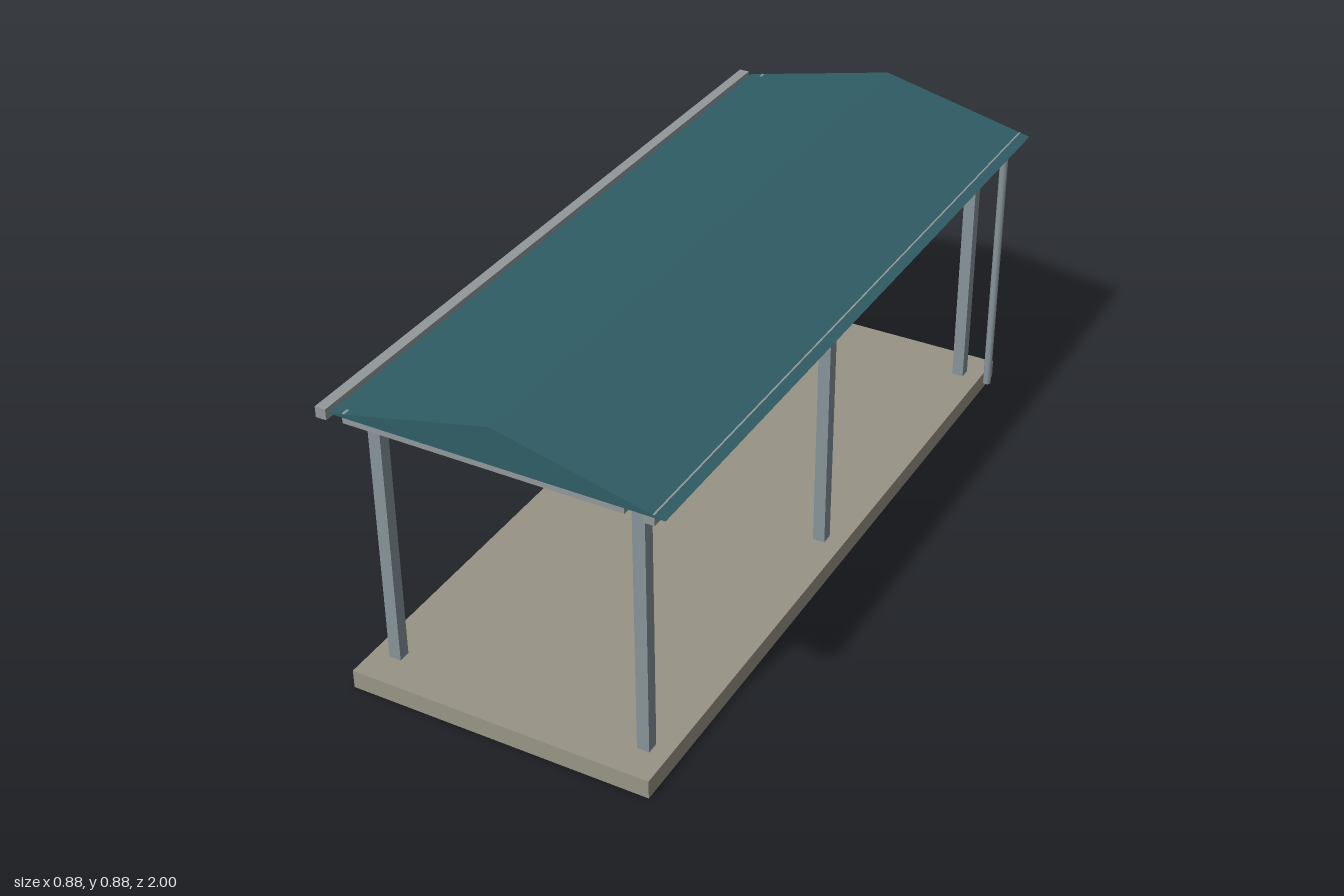
import * as THREE from 'three';

const mat = (name, color) => {
  const m = new THREE.MeshStandardMaterial({ color });
  m.name = name;
  return m;
};

export function createModel() {
  const concrete = mat('concrete', 0x989486);
  const teal = mat('teal roofing', 0x2f5d66);
  const steel = mat('grey steel', 0x87959a);
  const trim = mat('light grey trim', 0x92999b);

  const group = new THREE.Group();
  group.name = 'shelter';

  const add = (name, geometry, material, x = 0, y = 0, z = 0) => {
    const mesh = new THREE.Mesh(geometry, material);
    mesh.name = name;
    mesh.position.set(x, y, z);
    group.add(mesh);
    return mesh;
  };
  // Box given by its limits on each axis
  const box = (name, material, [x0, x1], [y0, y1], [z0, z1]) =>
    add(name, new THREE.BoxGeometry(x1 - x0, y1 - y0, z1 - z0), material,
      (x0 + x1) / 2, (y0 + y1) / 2, (z0 + z1) / 2);

  // Floor
  box('floorSlab', concrete, [-0.416, 0.386], [0, 0.05], [-1, 1]);

  // Gabled roof: solid triangular prism
  const gable = new THREE.Shape([
    new THREE.Vector2(-0.407, 0.778),
    new THREE.Vector2(0.438, 0.778),
    new THREE.Vector2(0.0155, 0.875),
  ]);
  add('roof', new THREE.ExtrudeGeometry(gable, { depth: 2, bevelEnabled: false }), teal, 0, 0, -1);

  // Frame, gutters and downpipes on both sides of the slab's centre line
  const centre = -0.015;
  for (const side of [-1, 1]) {
    const label = side < 0 ? 'right' : 'left';
    const px = centre + side * 0.339;
    for (const z of [-0.9, 0, 0.9])
      box(label + 'Post', steel, [px - 0.016, px + 0.016], [0.05, 0.778], [z - 0.016, z + 0.016]);

    const gx = centre + side * 0.413;
    box(label + 'Gutter', trim, [gx - 0.014, gx + 0.014], [0.757, 0.785], [-1, 1]);
    add(label + 'Downpipe', new THREE.CylinderGeometry(0.011, 0.011, 0.735, 12), steel,
      centre + side * 0.414, 0.3925, -0.925);
  }

  // Cross beams under each gable, just behind its face
  for (const side of [-1, 1])
    box(side < 0 ? 'backBeam' : 'frontBeam', trim, [-0.37, 0.34], [0.763, 0.788],
      side < 0 ? [-0.999, -0.98] : [0.98, 0.999]);

  return group;
}
